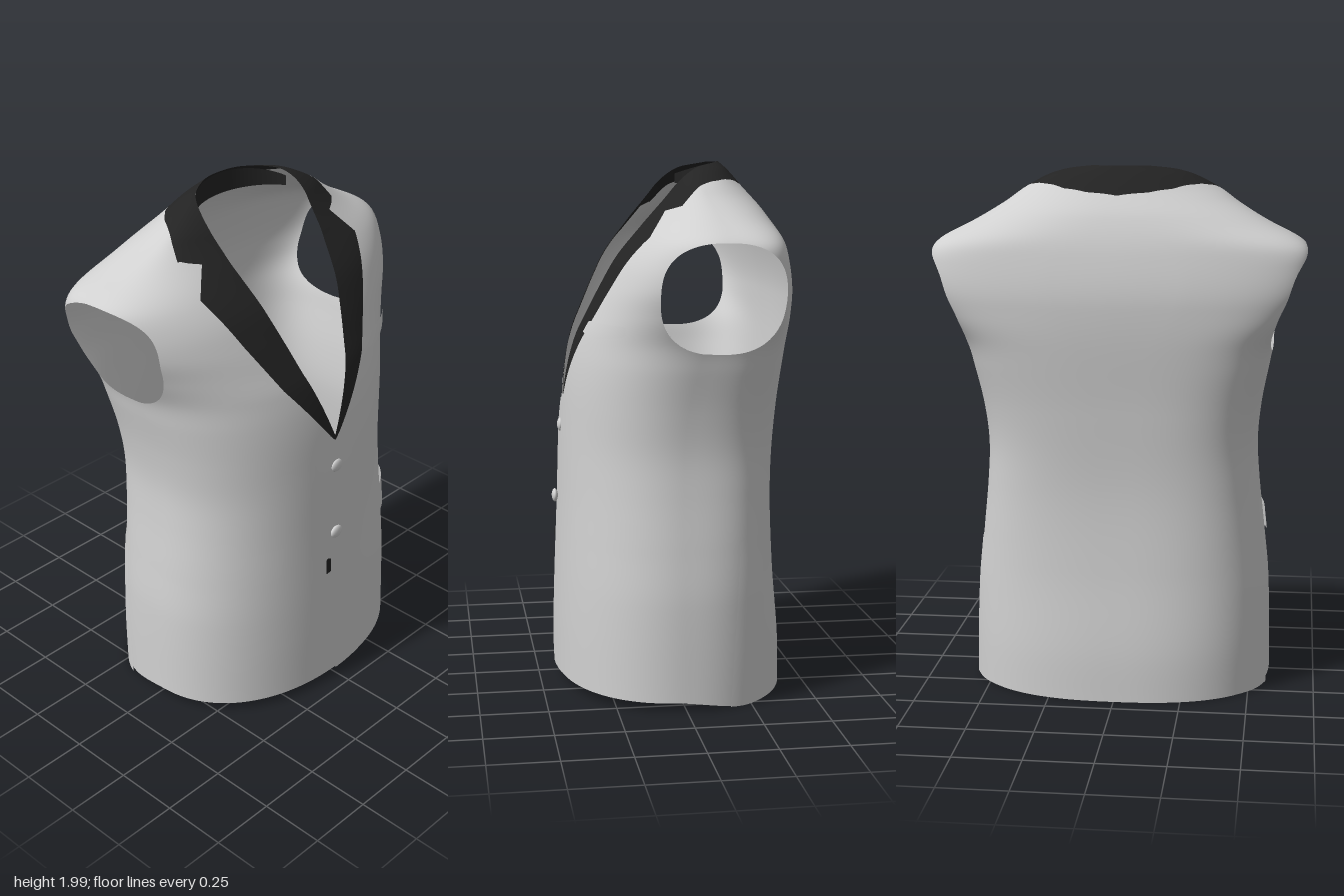
import * as THREE from 'three';

const mat = (name, color) => {
  const m = new THREE.MeshStandardMaterial({ color, side: THREE.DoubleSide });
  m.name = name;
  return m;
};
const clamp = (v) => Math.min(1, Math.max(0, v));

// Piecewise linear lookup through [key, value] pairs
function lerpTable(pts, t) {
  let i = 0;
  while (i < pts.length - 2 && t > pts[i + 1][0]) i++;
  const [a, b] = [pts[i], pts[i + 1]];
  return a[1] + (b[1] - a[1]) * clamp((t - a[0]) / (b[0] - a[0]));
}
// Smooth lookup (cubic Hermite) for the body profiles
function curve(pts, t) {
  let i = 0;
  while (i < pts.length - 2 && t > pts[i + 1][0]) i++;
  const slope = (k) => {
    const a = pts[Math.max(0, k - 1)], b = pts[Math.min(pts.length - 1, k + 1)];
    return (b[1] - a[1]) / (b[0] - a[0]);
  };
  const h = pts[i + 1][0] - pts[i][0], s = clamp((t - pts[i][0]) / h), s2 = s * s, s3 = s2 * s;
  return (2 * s3 - 3 * s2 + 1) * pts[i][1] + (s3 - 2 * s2 + s) * h * slope(i)
    + (3 * s2 - 2 * s3) * pts[i + 1][1] + (s3 - s2) * h * slope(i + 1);
}

// Body profiles by height: half width, front, back, widest depth, squareness, forward sweep of the shoulder blades
const WIDTH = [[0, .577], [.4, .567], [.6, .547], [.8, .525], [.95, .517], [1.1, .53], [1.25, .557], [1.35, .58], [1.45, .635],
  [1.55, .685], [1.65, .702], [1.705, .696], [1.74, .66], [1.79, .563], [1.83, .493], [1.87, .43], [1.91, .375], [1.95, .305], [1.975, .245], [2, .14]];
const FRONT = [[0, .43], [.3, .425], [.7, .41], [1, .4], [1.2, .386], [1.35, .357], [1.45, .315], [1.55, .268],
  [1.65, .216], [1.75, .143], [1.8, .108], [1.88, .045], [1.91, .022], [1.95, -.015], [1.975, -.05], [2, -.09]];
const BACK = [[0, -.432], [.2, -.425], [.5, -.395], [.8, -.38], [1.1, -.395], [1.5, -.427], [1.68, -.403],
  [1.82, -.35], [1.92, -.275], [1.96, -.242], [2, -.205]];
const MID = [[0, 0], [1, 0], [1.3, -.05], [1.5, -.12], [1.8, -.12], [1.9, -.09], [1.95, -.1], [2, -.12]];
const FRONT_N = [[0, 2.2], [1.3, 2.2], [1.6, 2.4], [1.8, 2.2], [2, 2.2]];
const BACK_N = [[0, 2.45], [.4, 2.7], [.8, 3.2], [1.1, 3.5], [1.35, 4.5], [1.5, 6], [1.66, 6], [1.77, 3.2], [1.9, 2.2], [2, 2.2]];
const SWEEP = [[0, 0], [1, 0], [1.35, .025], [1.5, .05], [1.67, .05], [1.78, .015], [1.88, 0], [2, 0]];

// Closed body skin from horizontal cross-sections, as triangles of [x,y,z,nx,ny,nz]
function bodyTriangles(rows = 140, cols = 200) {
  const pos = [], index = [];
  for (let i = 0; i <= rows; i++) {
    const y = .012 + 1.988 * (1 - Math.pow(1 - i / rows, 1.5));
    const w = curve(WIDTH, y), zf = curve(FRONT, y), zc = curve(MID, y);
    const zb = curve(BACK, y), fn = curve(FRONT_N, y), bn = curve(BACK_N, y), sweep = curve(SWEEP, y);
    for (let j = 0; j < cols; j++) {
      const a = j / cols * Math.PI * 2, c = Math.cos(a), s = Math.sin(a);
      const e = 2 / (s > 0 ? fn : bn);
      const x = w * Math.sign(c) * Math.pow(Math.abs(c), e);
      const reach = s > 0 ? zf - zc : zb - zc + sweep * (x / w) ** 2;
      const z = zc + reach * Math.pow(Math.abs(s), e);
      const lift = .035 * THREE.MathUtils.smoothstep(z, -.25, .05) * clamp(1 - y / .3);
      pos.push(x, y + lift, z);
      if (i < rows) {
        const k = (j + 1) % cols, p = i * cols + j, q = i * cols + k;
        index.push(p, p + cols, q, q, p + cols, q + cols);
      }
    }
  }
  const g = new THREE.BufferGeometry();
  g.setAttribute('position', new THREE.Float32BufferAttribute(pos, 3));
  g.setIndex(index);
  g.computeVertexNormals();
  const P = g.attributes.position.array, N = g.attributes.normal.array;
  const vert = (k) => [P[3 * k], P[3 * k + 1], P[3 * k + 2], N[3 * k], N[3 * k + 1], N[3 * k + 2]];
  const tris = [];
  for (let k = 0; k < index.length; k += 3) tris.push([vert(index[k]), vert(index[k + 1]), vert(index[k + 2])]);
  return tris;
}

// Keep the part of the skin where f(x, y, z) > 0
function clip(tris, f) {
  const out = [];
  for (const t of tris) {
    const d = t.map((v) => f(v[0], v[1], v[2]));
    if (d.every((v) => v > 0)) { out.push(t); continue; }
    if (d.every((v) => v <= 0)) continue;
    const poly = [];
    for (let i = 0; i < 3; i++) {
      const j = (i + 1) % 3;
      if (d[i] > 0) poly.push(t[i]);
      if (d[i] > 0 !== d[j] > 0) {
        const s = d[i] / (d[i] - d[j]);
        poly.push(t[i].map((v, k) => v + (t[j][k] - v) * s));
      }
    }
    for (let i = 2; i < poly.length; i++) out.push([poly[0], poly[i - 1], poly[i]]);
  }
  return out;
}

// Mesh from skin triangles, pushed along the normals by offset(x, y, z)
function skinMesh(name, tris, material, offset = () => 0) {
  const pos = [], nor = [];
  for (const t of tris) for (const [x, y, z, a, b, c] of t) {
    const o = offset(x, y, z);
    pos.push(x + a * o, y + b * o, z + c * o);
    nor.push(a, b, c);
  }
  const g = new THREE.BufferGeometry();
  g.setAttribute('position', new THREE.Float32BufferAttribute(pos, 3));
  g.setAttribute('normal', new THREE.Float32BufferAttribute(nor, 3));
  const m = new THREE.Mesh(g, material);
  m.name = name;
  return m;
}

// Regions on the body, positive inside
const armholeKeep = (x, y, z) => Math.max(
  Math.pow(Math.abs((z + .123) / .223), 2.5) + Math.pow(Math.abs((y - 1.52) / .2), 2.5) - 1, .43 - Math.abs(x));
const NECK = [[0, -1], [1.12, 0], [1.4, .115], [1.62, .185], [1.8, .235], [1.9, .25], [2, .25]];
const neckKeep = (x, y, z) => z > 0 ? Math.abs(x) - lerpTable(NECK, y)
  : Math.abs(x) - .25 * Math.sqrt(Math.max(0, 1 - (z / .2) ** 2)) + Math.max(0, -.2 - z);
const LAPEL = [[0, -1], [1.09, -.01], [1.12, .02], [1.37, .215], [1.55, .32], [1.73, .413], [1.825, .335], [1.836, .407], [1.88, .41], [2, .41]];
const COLLAR = [[-.34, -.3], [-.294, 0], [-.28, .11], [-.25, .2], [-.2, .275], [-.15, .328], [-.05, .388], [0, .41]];
const lapel = (x, y, z) => (z > 0 ? lerpTable(LAPEL, y) : lerpTable(COLLAR, z) - (y < 1.6 ? 1 : 0)) - Math.abs(x);
const FRONT_EDGE = [[.04, .0], [.07, -.03], [.12, -.065], [.22, -.088], [.6, -.093], [1, -.075], [1.12, 0]];
const placket = (x, y, z) => z < 0 ? -1 : Math.min(x - lerpTable(FRONT_EDGE, y), .15 - x, 1.12 - y);
const FLAP_BOTTOM = [[0, .575], [.1, .57], [.19, .552], [.25, .58], [.37, .6]];
const flap = (x, y, z) => Math.min(z - .005, .37 - z, .665 + .18 * z - y, y - lerpTable(FLAP_BOTTOM, z));
const WELT_BOTTOM = [[.2, 1.375], [.33, 1.358], [.4, 1.365], [.475, 1.378]];
const welt = (x, y, z) => z < 0 ? -1 : Math.min(x - .2, .475 - x, 1.415 - y, y - lerpTable(WELT_BOTTOM, x));
const ventLine = (y) => -.16 - .065 * y;
const vent = (x, y, z) => Math.min(ventLine(y) - z, z - ventLine(y) + .14, .63 - y);
const facing = (x, y, z) => z < 0 ? -1 : Math.min(.055 * clamp(y / .3) + .012 - Math.abs(x + .02), 1.1 - y);
const buttonhole = (x, y, z) => z < 0 ? -1 : Math.min(.012 - Math.abs(x + .055), .036 - Math.abs(y - .57));

export function createModel() {
  const fabric = mat('grey fabric', 0xd0d0d0);
  const dark = mat('black satin', 0x232323);
  const group = new THREE.Group();
  group.name = 'sleevelessJacket';

  // Shell, split into fabric body and dark lapels with collar
  const skin = clip(clip(bodyTriangles(), armholeKeep), neckKeep);
  const cloth = clip(skin, (x, y, z) => -lapel(x, y, z));
  group.add(skinMesh('body', cloth, fabric));
  group.add(skinMesh('lapelsAndCollar', clip(skin, lapel), dark));

  // Raised layers lying on the body
  group.add(skinMesh('frontOverlap', clip(cloth, placket), fabric,
    (x) => .0015 + .007 * clamp((.13 - x) / .2)));
  group.add(skinMesh('pocketFlaps', clip(cloth, flap), fabric, () => .009));
  group.add(skinMesh('breastPocket', clip(cloth, welt), fabric, () => .009));
  group.add(skinMesh('sideVents', clip(cloth, vent), fabric,
    (x, y, z) => .001 + .01 * clamp(1 - (ventLine(y) - z) / .13) * clamp((.64 - y) / .06)));
  group.add(skinMesh('innerFacing', clip(cloth, facing), dark, () => -.006));
  group.add(skinMesh('buttonhole', clip(cloth, buttonhole), dark, () => .0125));

  // Folded inside of the collar
  const band = new THREE.CylinderGeometry(1, 1, 1, 48, 1, true, Math.PI / 2 + .4, Math.PI - .8);
  const p = band.attributes.position;
  for (let i = 0; i < p.count; i++) {
    const s = -p.getZ(i);
    const y = p.getY(i) > 0 ? 1.922 + .074 * Math.pow(s, .9) : 1.915;
    p.setXYZ(i, p.getX(i) * .252, y, -.202 * s);
  }
  band.computeVertexNormals();
  const collar = new THREE.Mesh(band, dark);
  collar.name = 'innerCollar';
  group.add(collar);

  // Buttons
  for (const [x, y, z] of [[-.002, .995, .406], [-.018, .713, .428]]) {
    const b = new THREE.Mesh(new THREE.SphereGeometry(.03, 24, 12), fabric);
    b.scale.set(1, .85, .4);
    b.position.set(x, y, z);
    b.name = 'button';
    group.add(b);
  }
  return group;
}
